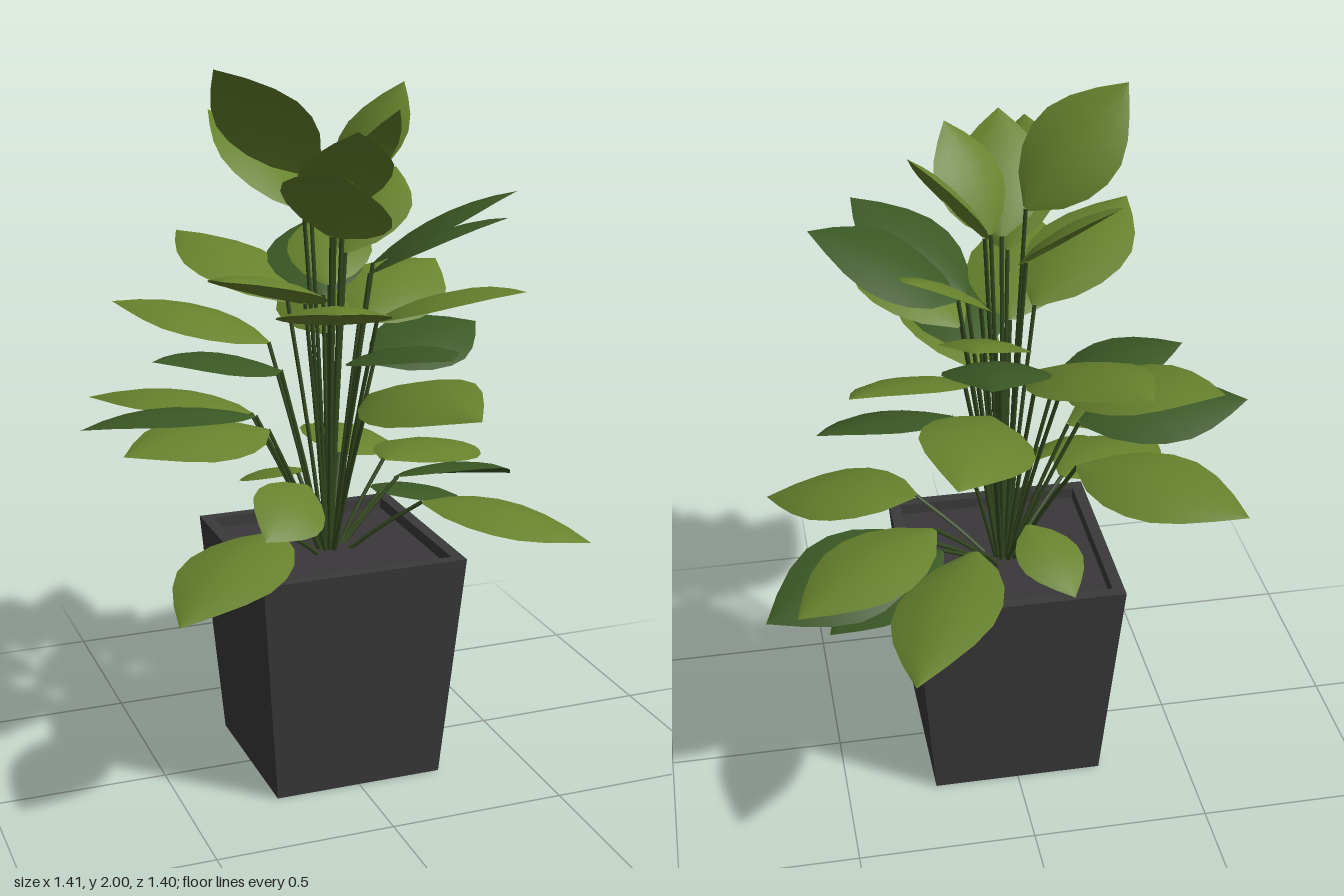
import * as THREE from 'three';

const mat = (name, color, extra = {}) => {
  const m = new THREE.MeshStandardMaterial({ color, ...extra });
  m.name = name;
  return m;
};

// Leaf tip x, y, z and roll of the blade, from the lowest ring to the crown
const LIGHT_LEAVES = [
  [-0.58, 0.66, 0.48, 0], [0.65, 0.68, 0.35, 0], [0.62, 0.75, -0.37, 0],
  [0.35, 0.74, -0.70, 0.2], [-0.30, 0.80, 0.33, -0.5], [-0.13, 0.73, -0.38, 0],
  [-0.63, 1.02, 0.16, -0.1], [-0.57, 1.00, -0.48, 0.1], [0.14, 1.19, 0.70, 0.25],
  [-0.52, 1.31, -0.36, 0], [0.23, 1.29, -0.66, -0.2],
  [0.45, 1.37, -0.31, 0.3], [-0.18, 1.45, 0.54, 0], [0.36, 1.45, 0.48, 0],
  [-0.26, 1.45, -0.60, 0], [-0.44, 1.53, 0.43, 0], [0.15, 1.52, -0.40, 0],
  [0.30, 1.66, -0.26, 0],
  [-0.15, 1.78, 0.48, -0.35], [-0.05, 1.86, 0.34, 0], [0.12, 1.89, 0.20, 0],
  [-0.24, 1.84, -0.32, 0], [0.26, 1.92, -0.11, 0], [-0.35, 2.00, 0.10, 0.45],
];
const DARK_LEAVES = [
  [0.70, 0.68, -0.28, -0.3], [0.53, 0.62, -0.28, 0], [-0.71, 1.06, 0.02, 0.15],
  [0.53, 1.20, -0.19, 0.3], [-0.52, 1.24, 0.06, 0], [0.12, 1.31, 0.56, 0],
  [0.12, 1.47, -0.51, 0], [0.36, 1.62, 0.36, 0], [0.50, 1.64, 0.12, -0.15],
];

// Half width along the blade, from stalk to tip
const OUTLINE = [0.08, 0.6, 0.88, 1, 0.97, 0.76, 0.42, 0];
const COLS = 4;

// Higher leaves start nearer the middle and rise; the lowest ones droop
function leafBase(tip) {
  const share = 0.36 - 0.13 * (tip.y - 0.66);
  return new THREE.Vector3(tip.x * share, 0.78 + 0.7 * (tip.y - 0.68), tip.z * share);
}

function leafGeometry(base, tip, roll) {
  const along = tip.clone().sub(base);
  const length = along.length();
  const width = Math.min(0.3, 0.68 * length);
  const axis = along.clone().normalize();
  const side = new THREE.Vector3(along.z, 0, -along.x).normalize().applyAxisAngle(axis, roll);
  const up = axis.clone().cross(side);
  const rows = OUTLINE.length - 1;
  const pos = [], index = [];
  OUTLINE.forEach((w, r) => {
    const t = r / rows;
    for (let c = 0; c <= COLS; c++) {
      const s = (c / COLS) * 2 - 1;
      // arched along its length, with the sides gently curled
      const lift = length * 0.32 * t * (1 - t) - width * 0.1 * w * s * s;
      const p = base.clone().addScaledVector(along, t)
        .addScaledVector(side, s * w * width / 2)
        .addScaledVector(up, lift);
      pos.push(p.x, p.y, p.z);
    }
  });
  for (let r = 0; r < rows; r++) {
    for (let c = 0; c < COLS; c++) {
      const a = r * (COLS + 1) + c, b = a + COLS + 1;
      index.push(a, b, a + 1);
      // the last row closes to a single point
      if (r < rows - 1) index.push(b, b + 1, a + 1);
    }
  }
  const g = new THREE.BufferGeometry();
  g.setAttribute('position', new THREE.Float32BufferAttribute(pos, 3));
  g.setIndex(index);
  g.computeVertexNormals();
  return g;
}

// Slim stem, bowed slightly towards the middle of the plant
function stemGeometry(base) {
  const root = new THREE.Vector3(base.x * 0.1, 0.6, base.z * 0.1);
  const mid = root.clone().lerp(base, 0.5);
  mid.x *= 0.92;
  mid.z *= 0.92;
  return new THREE.TubeGeometry(new THREE.CatmullRomCurve3([root, mid, base]), 6, 0.006, 5);
}

export function createModel() {
  const model = new THREE.Group();
  model.name = 'pottedPlant';
  const potMat = mat('potGrey', 0x3a3a3a, { flatShading: true });
  const soilMat = mat('soilGrey', 0x393739);
  const lightMat = mat('leafGreen', 0x67822d, { side: THREE.DoubleSide });
  const darkMat = mat('darkLeafGreen', 0x3b5825, { side: THREE.DoubleSide });
  const stemMat = mat('stemGreen', 0x34491f);

  const add = (parent, name, geometry, material) => {
    const mesh = new THREE.Mesh(geometry, material);
    mesh.name = name;
    parent.add(mesh);
    return mesh;
  };

  // square tapered pot with a hollow rim
  const profile = [[0, 0], [0.243, 0], [0.295, 0.66], [0.262, 0.66], [0.258, 0.61]]
    .map(([r, y]) => new THREE.Vector2(r * Math.SQRT2, y));
  add(model, 'pot', new THREE.LatheGeometry(profile, 4, Math.PI / 4), potMat);
  add(model, 'soil', new THREE.BoxGeometry(0.518, 0.02, 0.518), soilMat).position.y = 0.62;

  // stems and leaves fanning out of the middle
  const foliage = new THREE.Group();
  foliage.name = 'foliage';
  model.add(foliage);
  for (const [leaves, material] of [[LIGHT_LEAVES, lightMat], [DARK_LEAVES, darkMat]]) {
    for (const [x, y, z, roll] of leaves) {
      const tip = new THREE.Vector3(x, y, z);
      const base = leafBase(tip);
      add(foliage, 'leaf', leafGeometry(base, tip, roll), material);
      add(foliage, 'stem', stemGeometry(base), stemMat);
    }
  }
  return model;
}
